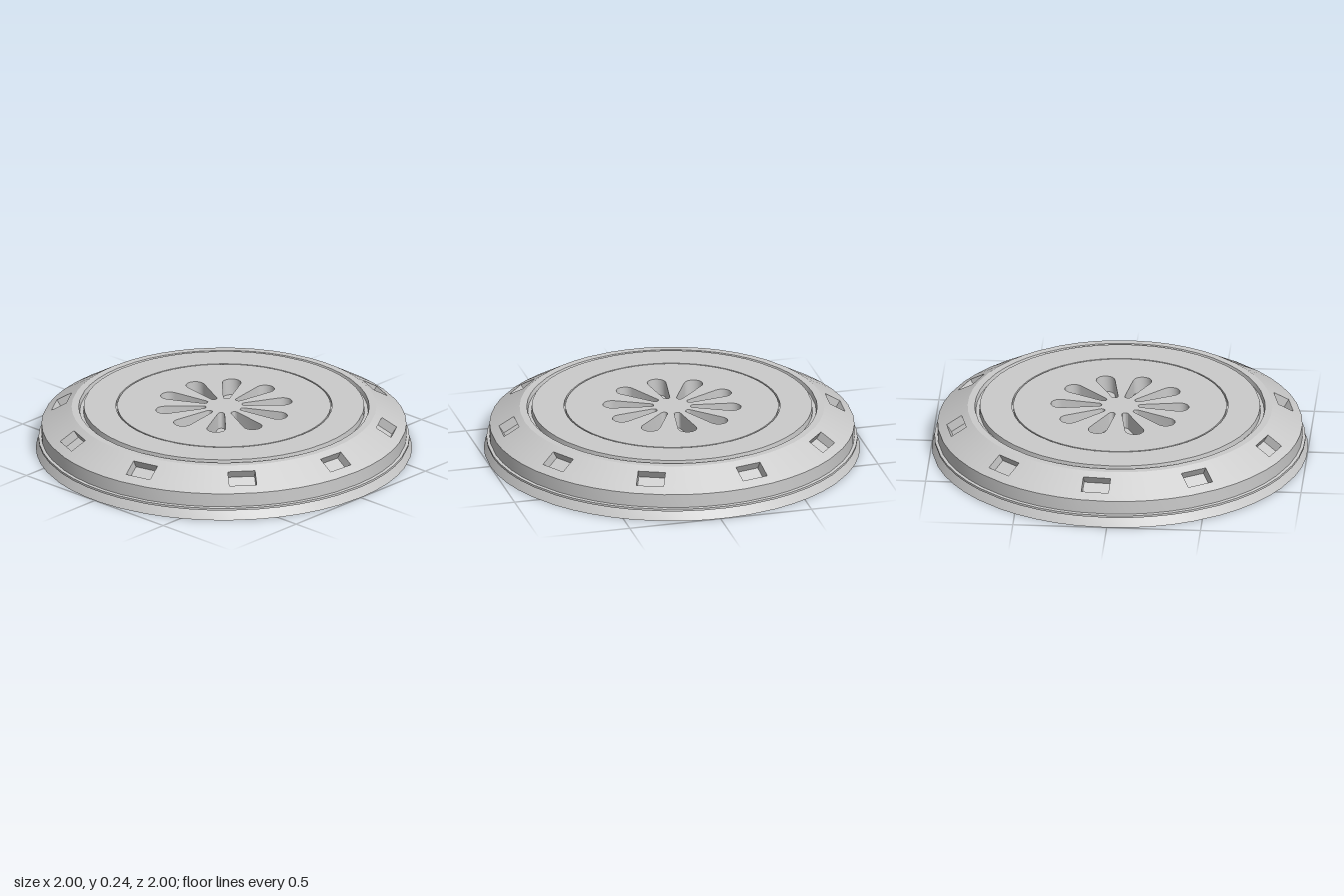
import * as THREE from 'three';
import { toCreasedNormals } from 'three/addons/utils/BufferGeometryUtils.js';

const COUNT = 10;
const STEP = (Math.PI * 2) / COUNT;
const TOP = 0.242;

// Turned body profile [radius, height], bottom rim to centre plate groove
const profile = [
  [1, 0], [0.975, 0.048], [0.986, 0.051], [0.986, 0.063], [0.97, 0.066],
  [0.97, 0.14], [0.925, 0.167], [0.845, 0.215], [0.81, 0.236],
  [0.772, 0.236], [0.766, 0.212], [0.748, 0.212], [0.745, TOP],
  [0.575, TOP], [0.574, 0.228], [0.55, 0.228],
];
const WINDOW_ROW = 6;
const WINDOW_HALF = 0.073;
const columns = [-18, -11.3, -4.7, 4.7, 11.3, 18].map(THREE.MathUtils.degToRad);

function bodyGeometry() {
  const out = [];
  const quad = (a, b, c, d) => {
    for (const p of [a, b, c, a, c, d]) out.push(p.x, p.y, p.z);
  };
  const slope = new THREE.Vector2(0.515, 0.857);
  for (let k = 0; k < COUNT; k++) {
    const mid = THREE.MathUtils.degToRad(4.3) + k * STEP;
    const point = (row, col) => {
      const [r, y] = profile[row];
      let t = columns[col];
      // window edges keep a constant width
      if ((row === WINDOW_ROW || row === WINDOW_ROW + 1) && (col === 2 || col === 3)) {
        t = Math.sign(t) * Math.asin(WINDOW_HALF / r);
      }
      return new THREE.Vector3(r * Math.cos(mid + t), y, r * Math.sin(mid + t));
    };
    const inward = new THREE.Vector3(
      -slope.x * Math.cos(mid), -slope.y, -slope.x * Math.sin(mid)
    ).multiplyScalar(0.05);
    for (let i = 0; i < profile.length - 1; i++) {
      for (let j = 0; j < columns.length - 1; j++) {
        const rim = [point(i, j), point(i + 1, j), point(i + 1, j + 1), point(i, j + 1)];
        if (i !== WINDOW_ROW || j !== 2) {
          quad(...rim);
          continue;
        }
        // recessed window: four walls and a floor
        const floor = rim.map((p) => p.clone().add(inward));
        for (let e = 0; e < 4; e++) {
          const n = (e + 1) % 4;
          quad(rim[e], rim[n], floor[n], floor[e]);
        }
        quad(...floor);
      }
    }
  }
  const geo = new THREE.BufferGeometry();
  geo.setAttribute('position', new THREE.Float32BufferAttribute(out, 3));
  return toCreasedNormals(geo, 0.4);
}

// Teardrop opening: narrow round inner end, wide round outer end
function petal(angle) {
  const pts = [];
  const arc = (centre, radius, from, to) => {
    for (let i = 0; i <= 10; i++) {
      const a = from + ((to - from) * i) / 10;
      const x = centre + radius * Math.cos(a);
      const y = radius * Math.sin(a);
      pts.push(new THREE.Vector2(x, y).rotateAround(new THREE.Vector2(), angle));
    }
  };
  arc(0.318, 0.05, -1.7, 1.7);
  arc(0.115, 0.018, 1.7, Math.PI * 2 - 1.7);
  return new THREE.Path(pts);
}

function plateGeometry(depth) {
  const shape = new THREE.Shape().absarc(0, 0, 0.567, 0, Math.PI * 2, false);
  for (let k = 0; k < COUNT; k++) shape.holes.push(petal(Math.PI / 2 + k * STEP));
  const geo = new THREE.ExtrudeGeometry(shape, { depth, bevelEnabled: false, curveSegments: 32 });
  geo.rotateX(-Math.PI / 2).translate(0, TOP - depth, 0);
  return toCreasedNormals(geo, 0.6);
}

export function createModel() {
  const group = new THREE.Group();
  const material = new THREE.MeshStandardMaterial({ color: 0xcccccc });
  const add = (name, geometry) => {
    const mesh = new THREE.Mesh(geometry, material);
    mesh.name = name;
    group.add(mesh);
  };

  add('bodyWithWindows', bodyGeometry());
  add('petalPlate', plateGeometry(0.092));
  add('petalFloor', new THREE.CircleGeometry(0.5, 40).rotateX(-Math.PI / 2).translate(0, TOP - 0.09, 0));
  add('underside', new THREE.CircleGeometry(1, 50).rotateX(Math.PI / 2));
  return group;
}
